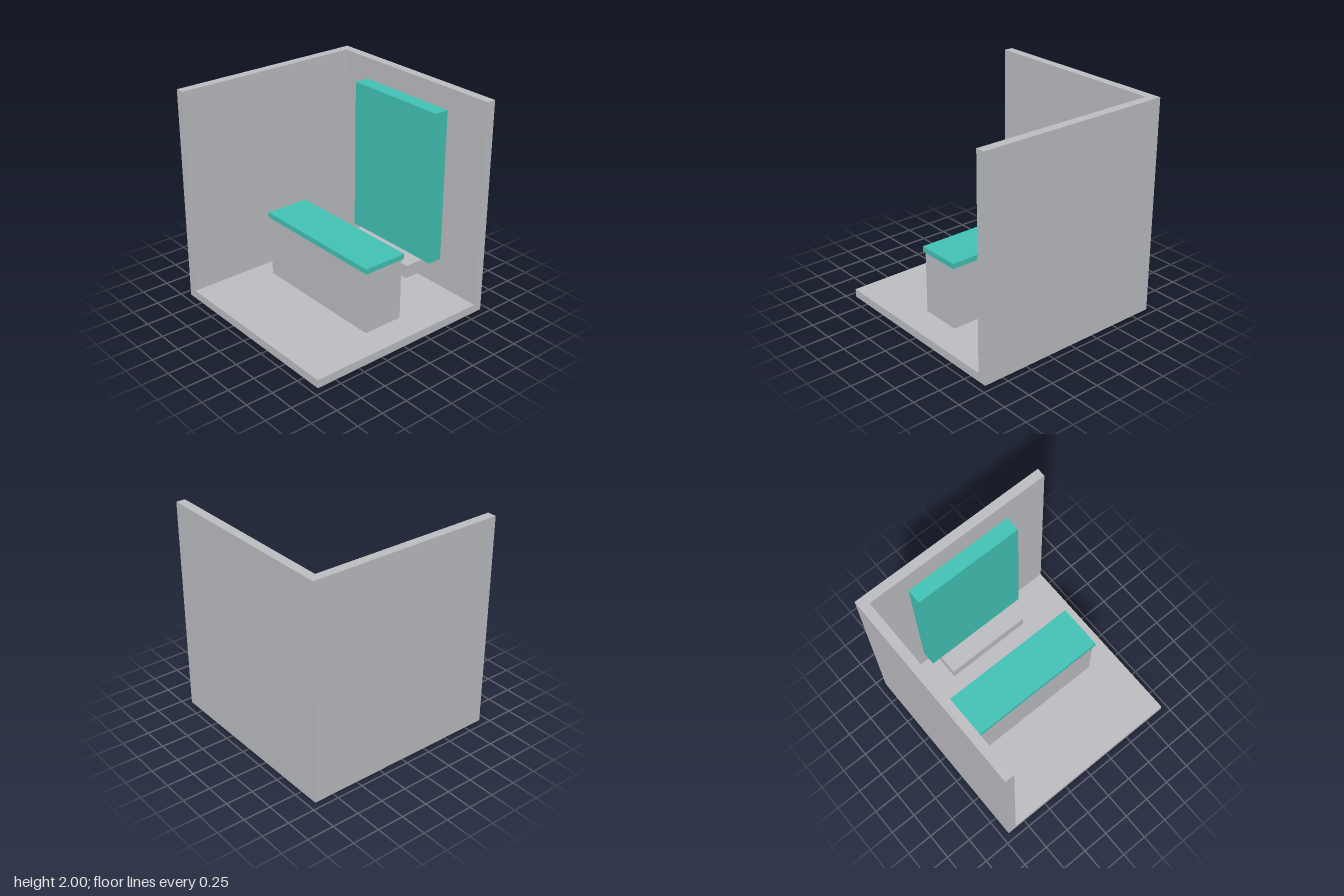
import * as THREE from 'three';

export function createModel() {
  const model = new THREE.Group();
  const grey = new THREE.MeshStandardMaterial({ color: 0xbcbdc1 });
  grey.name = 'light grey';
  const teal = new THREE.MeshStandardMaterial({ color: 0x41c2b4 });
  teal.name = 'teal';

  // Box given by its extents [min, max] along each axis
  function block(name, material, [x0, x1], [y0, y1], [z0, z1]) {
    const mesh = new THREE.Mesh(new THREE.BoxGeometry(x1 - x0, y1 - y0, z1 - z0), material);
    mesh.position.set((x0 + x1) / 2, (y0 + y1) / 2, (z0 + z1) / 2);
    mesh.name = name;
    model.add(mesh);
  }

  const half = 0.934, inner = 0.85, floorTop = 0.078;

  // Room corner: floor, back wall and side wall
  block('floor', grey, [-half, half], [0, floorTop], [-half, half]);
  block('backWall', grey, [-half, half], [floorTop, 2], [-half, -inner]);
  block('sideWall', grey, [-half, -inner], [floorTop, 2], [-inner, half]);

  // Counter with overhanging top
  block('counterBase', grey, [-0.665, 0.665], [floorTop, 0.665], [-0.195, 0.195]);
  block('counterTop', teal, [-0.68, 0.68], [0.665, 0.714], [-0.212, 0.212]);

  // Upright panel and the ledge beneath it
  block('panel', teal, [-0.515, 0.515], [0.377, 1.815], [-0.82, -0.682]);
  block('ledge', grey, [-0.418, 0.418], [0.252, 0.377], [-0.775, -0.498]);

  return model;
}
